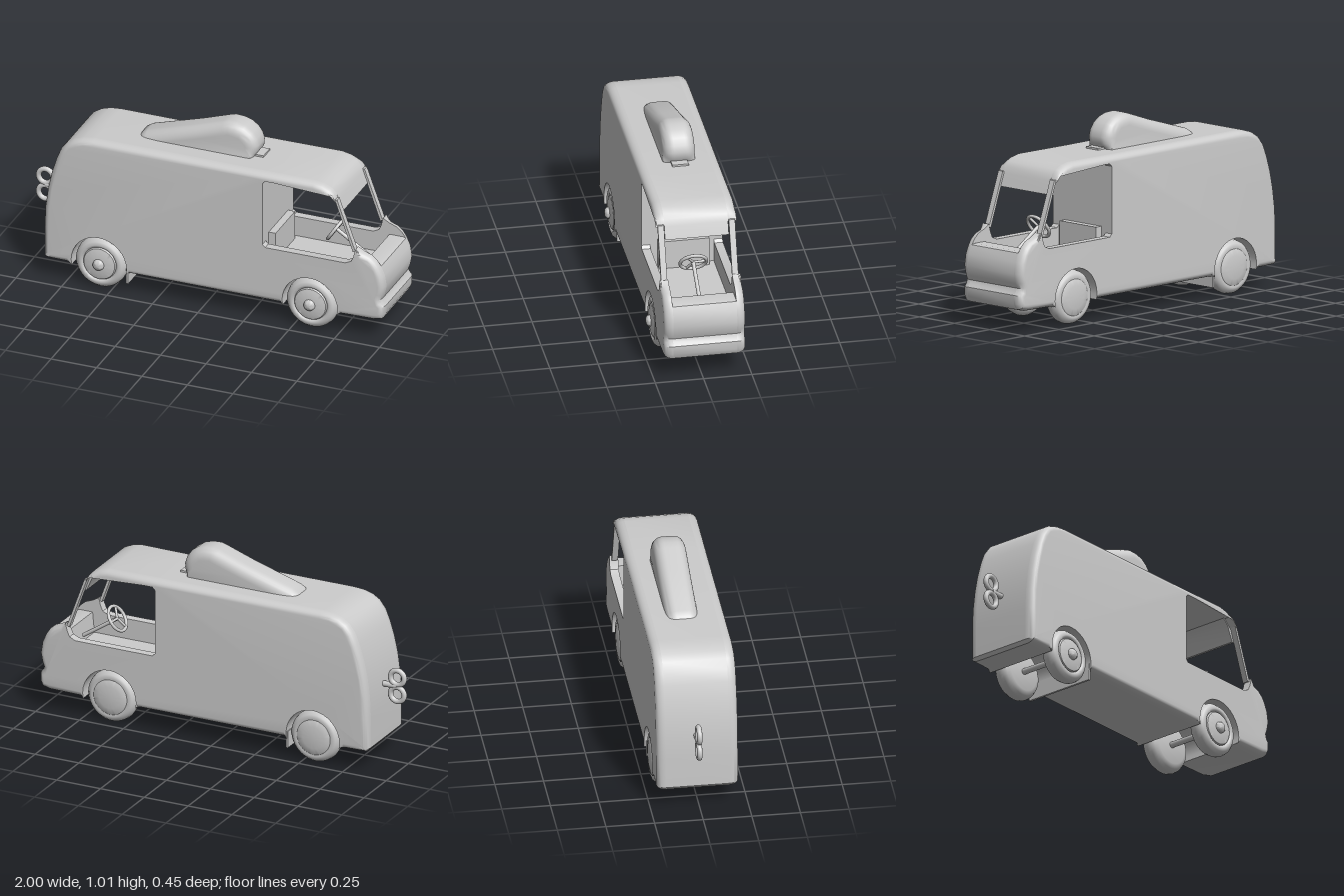
import * as THREE from 'three';
import { toCreasedNormals } from 'three/addons/utils/BufferGeometryUtils.js';

const paint = new THREE.MeshStandardMaterial({ color: 0xcccccc });
paint.name = 'light grey';

function add(parent, name, geometry, x = 0, y = 0, z = 0) {
  const mesh = new THREE.Mesh(geometry, paint);
  mesh.name = name;
  mesh.position.set(x, y, z);
  parent.add(mesh);
  return mesh;
}

// Lofts a counter-clockwise side outline across z. Points are [x, y, weight];
// sections are [z, inset], the inset pulling in only the weighted points.
function slab(points, sections, crease = 0.6) {
  const n = points.length;
  const inward = points.map((p, i) => {
    const a = points[(i + n - 1) % n], b = points[(i + 1) % n];
    return new THREE.Vector2(a[1] - b[1], b[0] - a[0]).normalize().multiplyScalar(p[2] ?? 1);
  });
  const rings = sections.map(([z, inset]) => points.map((p, i) =>
    [p[0] + inward[i].x * inset, p[1] + inward[i].y * inset, z]));
  const pos = [];
  const tri = (a, b, c) => pos.push(...a, ...b, ...c);
  for (let s = 0; s < rings.length - 1; s++) {
    for (let i = 0; i < n; i++) {
      const j = (i + 1) % n, r = rings[s], q = rings[s + 1];
      tri(r[i], r[j], q[j]);
      tri(r[i], q[j], q[i]);
    }
  }
  const cap = (ring, flip) => {
    const flat = ring.map(p => new THREE.Vector2(p[0], p[1]));
    for (const [a, b, c] of THREE.ShapeUtils.triangulateShape(flat, [])) {
      if (flip) tri(ring[a], ring[c], ring[b]);
      else tri(ring[a], ring[b], ring[c]);
    }
  };
  cap(rings[0], true);
  cap(rings[rings.length - 1], false);
  const g = new THREE.BufferGeometry();
  g.setAttribute('position', new THREE.Float32BufferAttribute(pos, 3));
  return toCreasedNormals(g, crease);
}

// Quarter-round sections from z0, ending depth further out
function rounded(z0, depth, inset, steps = 6) {
  return Array.from({ length: steps + 1 }, (_, i) => {
    const a = i / steps * Math.PI / 2;
    return [z0 + depth * Math.sin(a), inset * (1 - Math.cos(a))];
  });
}
const mirrored = sections => sections.map(([z, inset]) => [-z, inset]).reverse();

// Wheel arch from rear to front over a wheel centre
function arch(cx) {
  return Array.from({ length: 19 }, (_, i) => {
    const a = Math.PI + 0.2 - i / 18 * (Math.PI + 0.4);
    return [cx + 0.152 * Math.cos(a), 0.14 + 0.152 * Math.sin(a), 0];
  });
}

function rod(parent, name, a, b, r) {
  const from = new THREE.Vector3(...a), to = new THREE.Vector3(...b);
  const dir = to.clone().sub(from);
  const mesh = add(parent, name, new THREE.CylinderGeometry(r, r, dir.length(), 14));
  mesh.position.copy(from).addScaledVector(dir, 0.5);
  mesh.quaternion.setFromUnitVectors(new THREE.Vector3(0, 1, 0), dir.normalize());
}

const REAR = -0.565, FRONT = 0.595;

export function createModel() {
  const model = new THREE.Group();
  model.name = 'toyVan';
  const body = new THREE.Group();
  body.name = 'body';
  body.position.z = -0.01;
  model.add(body);

  // Shared stretches of the side outline
  const underside = [[-0.875, 0.13], [-0.86, 0.112], [-0.74, 0.11], ...arch(REAR),
    [-0.4, 0.11], [0.43, 0.11], ...arch(FRONT)];
  const nose = [[0.76, 0.11], [0.94, 0.113], [0.985, 0.125], [1, 0.155], [1, 0.2], [0.985, 0.22],
    [0.98, 0.235], [0.99, 0.26], [1, 0.31], [0.99, 0.37], [0.97, 0.415]];
  const roofAndTail = [[0.7, 0.812], [0.66, 0.83], [0.61, 0.84], [0.28, 0.838], [-0.6, 0.84],
    [-0.66, 0.835], [-0.71, 0.82], [-0.75, 0.795], [-0.785, 0.75], [-0.81, 0.69], [-0.835, 0.61],
    [-0.855, 0.52], [-0.87, 0.41], [-0.875, 0.3]];

  // Middle of the van: hollow cab with header, floor, dash and solid rear
  const middle = [...underside, ...nose, [0.955, 0.42], [0.88, 0.42], [0.87, 0.31], [0.335, 0.31],
    [0.335, 0.8], [0.68, 0.8], [0.712, 0.77], [0.748, 0.69], [0.76, 0.69], [0.737, 0.755],
    [0.722, 0.79], ...roofAndTail];
  add(body, 'bodyMiddle', slab(middle, [[-0.165, 0], [0.165, 0]]));

  // Rounded sides with the door openings and raised cheeks
  const side = [...underside, ...nose, [0.95, 0.445], [0.92, 0.47], [0.88, 0.485],
    [0.845, 0.505, 0], [0.835, 0.465, 0], [0.822, 0.435, 0], [0.79, 0.42, 0], [0.35, 0.42, 0],
    [0.335, 0.435, 0], [0.335, 0.785, 0], [0.35, 0.8, 0], [0.69, 0.8, 0], [0.715, 0.775, 0],
    [0.735, 0.755, 0], [0.722, 0.79, 0.4], ...roofAndTail];
  const pillar = [[0.728, 0.765], [0.828, 0.485], [0.842, 0.49], [0.742, 0.765]];
  const edge = rounded(0.165, 0.045, 0.032);
  const post = [[0.168, 0], [0.2, 0]];
  add(body, 'leftSide', slab(side, edge));
  add(body, 'rightSide', slab(side, mirrored(edge)));
  add(body, 'leftPillar', slab(pillar, post));
  add(body, 'rightPillar', slab(pillar, mirrored(post)));

  // Cab fittings
  add(body, 'bench', new THREE.BoxGeometry(0.04, 0.16, 0.26), 0.353, 0.385, -0.005);
  add(body, 'mudguard', new THREE.BoxGeometry(0.012, 0.09, 0.4), -0.413, 0.1, 0);

  // Steering wheel and column
  rod(body, 'steeringColumn', [0.655, 0.49, 0], [0.85, 0.36, 0], 0.01);
  const steering = new THREE.Group();
  steering.name = 'steeringWheel';
  steering.position.set(0.655, 0.49, 0);
  steering.quaternion.setFromUnitVectors(new THREE.Vector3(0, 0, 1),
    new THREE.Vector3(0.135, -0.09, 0).normalize());
  body.add(steering);
  add(steering, 'rim', new THREE.TorusGeometry(0.068, 0.009, 10, 36));
  for (let i = 0; i < 3; i++) {
    const a = Math.PI / 2 + i * Math.PI * 2 / 3;
    rod(steering, 'spoke', [0, 0, 0], [0.068 * Math.cos(a), 0.068 * Math.sin(a), 0], 0.007);
  }

  // Teardrop scoop on the roof
  const scoop = [[-0.42, 0.8, 0], [0.21, 0.8, 0], [0.225, 0.845, 0.4], [0.24, 0.865], [0.243, 0.9],
    [0.232, 0.935], [0.208, 0.968], [0.17, 0.995], [0.125, 1.008], [0.08, 1.01], [0.045, 1],
    [-0.1, 0.95], [-0.37, 0.868], [-0.4, 0.85]];
  const half = rounded(0.03, 0.054, 0.06, 8);
  add(body, 'roofScoop', slab(scoop, [...mirrored(half), ...half], 0.9)).position.z = -0.008;
  add(body, 'scoopBase', new THREE.BoxGeometry(0.08, 0.02, 0.085), 0.23, 0.838, -0.005);

  // Wheels: raised hub on the left row, plain dome on the right row
  const lathe = pts => {
    const g = new THREE.LatheGeometry(pts.map(p => new THREE.Vector2(...p)), 48);
    return toCreasedNormals(g.rotateX(Math.PI / 2), 0.7);
  };
  const tyre = [[0, -0.045], [0.1, -0.045], [0.125, -0.035], [0.137, -0.015], [0.14, 0.005],
    [0.136, 0.025], [0.122, 0.042], [0.105, 0.048], [0.095, 0.045]];
  const hubbed = lathe([...tyre, [0.09, 0.038], [0.085, 0.046], [0.06, 0.053], [0.03, 0.055],
    [0.028, 0.066], [0.018, 0.075], [0, 0.078]]);
  const domed = lathe([...tyre, [0.093, 0.047], [0.06, 0.053], [0, 0.056]]);
  for (const [label, x] of [['rear', REAR], ['front', FRONT]]) {
    add(model, label + 'LeftWheel', hubbed, x, 0.14, 0.148);
    add(model, label + 'RightWheel', domed, x, 0.14, -0.164).rotation.y = Math.PI;
    rod(model, label + 'Axle', [x, 0.14, -0.15], [x, 0.14, 0.13], 0.016);
  }

  // Wind-up key at the tail
  const key = new THREE.Group();
  key.name = 'windUpKey';
  key.position.set(-0.945, 0.424, -0.015);
  model.add(key);
  for (const s of [-1, 1]) {
    add(key, 'loop', new THREE.TorusGeometry(0.039, 0.014, 12, 32), 0, s * 0.046, 0);
  }
  rod(key, 'shaft', [0, 0, 0], [0.09, 0, 0], 0.016);
  return model;
}
